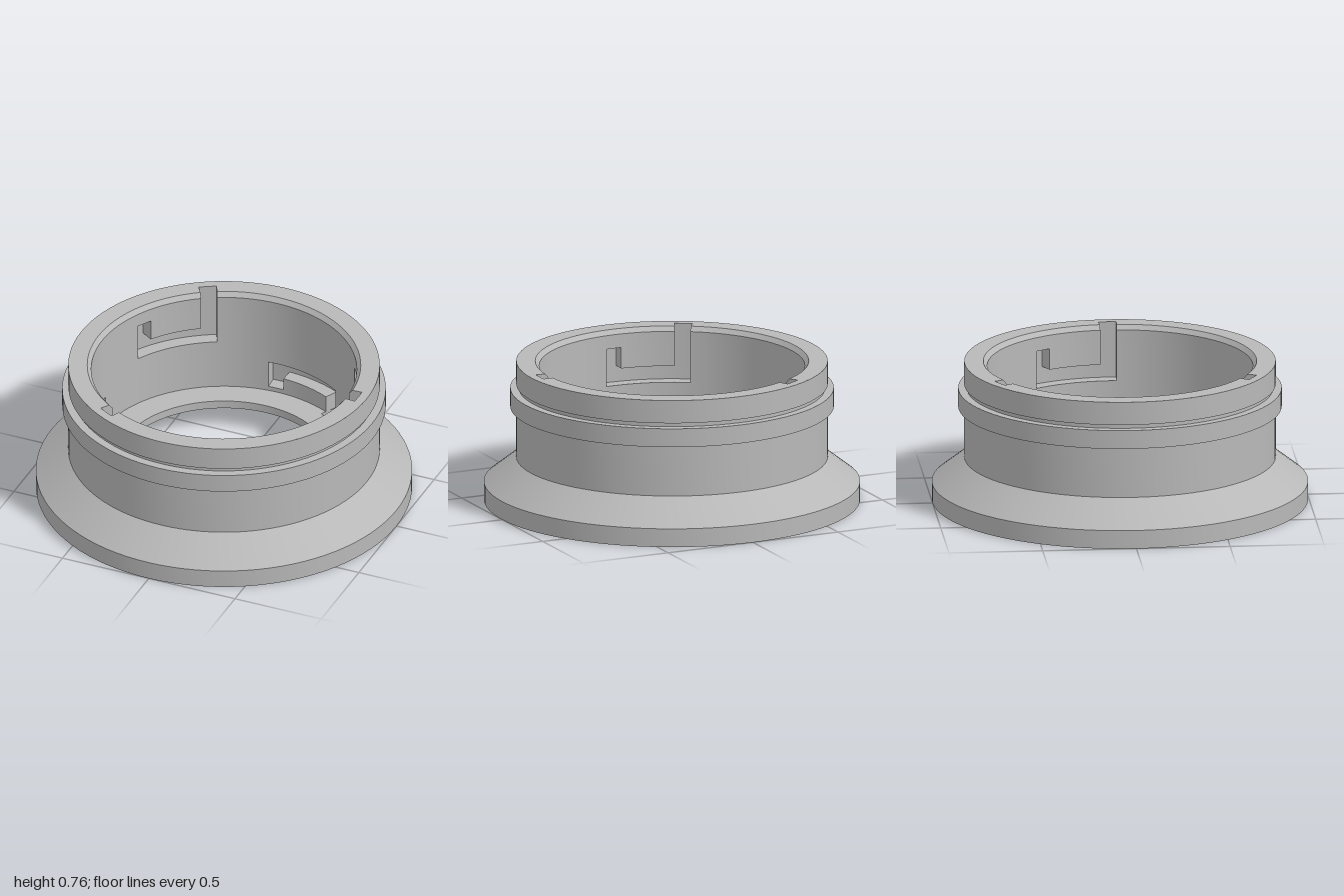
import * as THREE from 'three';
import { toCreasedNormals } from 'three/addons/utils/BufferGeometryUtils.js';

const DEG = Math.PI / 180;
const FLOOR_Y = 0.13, FLOOR_TOP = 0.175, TOP_Y = 0.76;
const HOLE_R = 0.56, BORE_R = 0.706, SLOT_R = 0.78, BODY_R = 0.828;

// Angles over one 60 degree sector, with edges at the bayonet slot sides
function sectorAngles() {
  const out = [];
  const span = (a, b, n) => { for (let i = 0; i < n; i++) out.push(a + (b - a) * i / n); };
  span(-3.5, 3.5, 2);
  span(3.5, 27, 6);
  span(27, 34, 2);
  span(34, 56.5, 6);
  return out;
}

// Is this spot of the bore cut away by one of the hooked slots?
function isCut(angle, y, upper) {
  const entry = angle < 3.5;
  const hook = angle > 27 && angle < 34;
  const run = angle < 34;
  if (upper) return (entry && y > 0.455) || (run && y > 0.455 && y < 0.545) || (hook && y > 0.455 && y < 0.66);
  return (entry && y < 0.353) || (run && y > 0.27 && y < 0.353) || (hook && y > 0.2 && y < 0.353);
}

// Inner wall as a grid of cells, each at bore or slot depth, joined by steps
function boreGeometry() {
  const levels = [FLOOR_TOP, 0.2, 0.27, 0.353, 0.455, 0.545, 0.66, 0.735, TOP_Y];
  const cells = [];
  for (let s = 0; s < 6; s++) {
    for (const a of sectorAngles()) cells.push({ local: a, start: a + s * 60, upper: s % 2 === 0 });
  }
  const n = cells.length;
  const pos = [];
  const point = (deg, r, y) => [r * Math.cos(deg * DEG), y, -r * Math.sin(deg * DEG)];
  const quad = (a, b, c, d) => pos.push(...a, ...b, ...c, ...a, ...c, ...d);
  const radius = (i, row, y) => {
    const c = cells[(i + n) % n];
    if (isCut(c.local + 0.5, (levels[row] + levels[row + 1]) / 2, c.upper)) return SLOT_R;
    return y === TOP_Y ? 0.727 : BORE_R;
  };
  for (let i = 0; i < n; i++) {
    const a = cells[i].start;
    const b = i + 1 < n ? cells[i + 1].start : cells[0].start + 360;
    for (let row = 0; row < levels.length - 1; row++) {
      const y0 = levels[row], y1 = levels[row + 1];
      const r0 = radius(i, row, y0), r1 = radius(i, row, y1);
      quad(point(a, r0, y0), point(a, r1, y1), point(b, r1, y1), point(b, r0, y0));
      // ledge, or the top rim on the last row
      const above = y1 === TOP_Y ? BODY_R : radius(i, row + 1, y1);
      if (above !== r1) quad(point(a, r1, y1), point(a, above, y1), point(b, above, y1), point(b, r1, y1));
      // side wall towards the previous cell
      const p0 = radius(i - 1, row, y0), p1 = radius(i - 1, row, y1);
      if (p0 !== r0) quad(point(a, p0, y0), point(a, p1, y1), point(a, r1, y1), point(a, r0, y0));
    }
  }
  const g = new THREE.BufferGeometry();
  g.setAttribute('position', new THREE.Float32BufferAttribute(pos, 3));
  return g;
}

// Flat ring with the central opening and three entry slots
function floorGeometry() {
  const shape = new THREE.Shape().absarc(0, 0, 0.83, 0, Math.PI * 2, false);
  shape.holes.push(new THREE.Path().absarc(0, 0, HOLE_R, 0, Math.PI * 2, true));
  for (const deg of [60, 180, 300]) {
    const corners = [[0.674, -0.044], [0.674, 0.044], [SLOT_R, 0.044], [SLOT_R, -0.044]];
    shape.holes.push(new THREE.Path(corners.map(([x, y]) =>
      new THREE.Vector2(x, y).rotateAround(new THREE.Vector2(), deg * DEG))));
  }
  const g = new THREE.ExtrudeGeometry(shape, { depth: FLOOR_TOP - FLOOR_Y, bevelEnabled: false, curveSegments: 96 });
  return g.rotateX(-Math.PI / 2).translate(0, FLOOR_Y, 0);
}

export function createModel() {
  const group = new THREE.Group();
  group.name = 'bayonetAdapterRing';
  const grey = new THREE.MeshStandardMaterial({ color: 0xb8b8b8 });
  grey.name = 'grey';

  const add = (name, geometry) => {
    const mesh = new THREE.Mesh(toCreasedNormals(geometry, 0.4), grey);
    mesh.name = name;
    group.add(mesh);
  };

  // Flared skirt, body, raised collar, groove and top band
  const profile = [
    [0.83, FLOOR_Y], [1, 0], [1, 0.1], [BODY_R, 0.235], [BODY_R, 0.512],
    [0.86, 0.512], [0.86, 0.613], [0.815, 0.613], [0.815, 0.635], [BODY_R, 0.635], [BODY_R, TOP_Y],
  ].map(([x, y]) => new THREE.Vector2(x, y));
  add('outerShell', new THREE.LatheGeometry(profile, 96));
  add('slottedBore', boreGeometry());
  add('floorRing', floorGeometry());
  return group;
}
